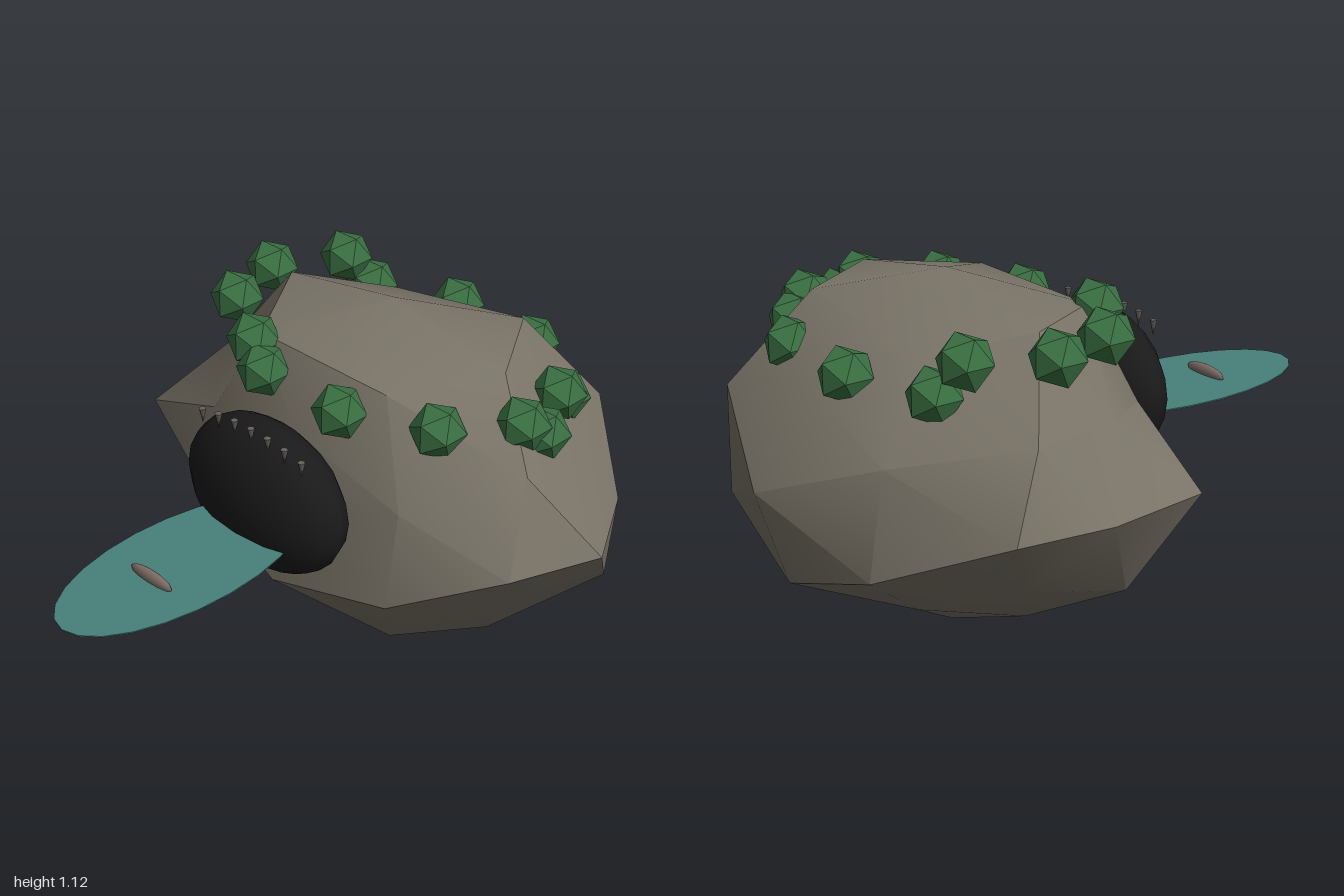
import * as THREE from 'three';
import { toCreasedNormals } from 'three/addons/utils/BufferGeometryUtils.js';

const paint = (name, color) => {
  const m = new THREE.MeshStandardMaterial({ color });
  m.name = name;
  return m;
};

// Boulder: a subdivided icosahedron, stretched, with its worn corners pulled to set points
function boulderGeometry() {
  const centre = new THREE.Vector3(-0.03, 0.585, -0.34);
  const stretch = new THREE.Vector3(0.85, 0.54, 0.62);
  const corners = [
    // ends
    [-0.03, 0.005, -0.34], [-0.82, 0.585, -0.34], [-0.03, 0.585, -1.0], [-0.03, 0.585, 0.15],
    // waist
    [0.71, 0.585, -0.05], [0.66, 0.585, -0.62], [-0.78, 0.585, -0.64], [-0.78, 0.585, 0.0],
    // underside
    [0.4, 0.1, -0.34], [-0.41, 0.16, -0.34], [0.23, 0.12, -0.07], [0.23, 0.12, -0.63], [-0.26, 0.2, -0.61],
    // sides
    [-0.62, 0.79, -0.19], [-0.74, 0.83, -0.54], [-0.66, 0.29, -0.17], [-0.61, 0.355, -0.5],
    [0.65, 0.86, -0.18], [0.56, 0.82, -0.505], [0.57, 0.35, -0.2], [0.69, 0.355, -0.54],
    // front
    [0.4, 0.74, 0.09], [-0.42, 0.74, 0.06], [0.4, 0.43, 0.14], [-0.42, 0.43, 0.1],
    [-0.03, 0.84, 0.09], [-0.03, 0.34, 0.19],
    // back
    [0.35, 0.43, -0.87], [-0.45, 0.43, -0.89], [-0.03, 0.86, -0.81], [-0.03, 0.28, -0.9],
    [0.24, 1.045, -0.63], [-0.27, 0.965, -0.61],
  ].map(c => new THREE.Vector3(...c));

  const geo = new THREE.IcosahedronGeometry(1, 1);
  const pos = geo.attributes.position;
  const unit = corners.map(c => c.clone().sub(centre).divide(stretch).normalize());
  const v = new THREE.Vector3();
  for (let i = 0; i < pos.count; i++) {
    v.fromBufferAttribute(pos, i);
    const k = unit.findIndex(u => u.dot(v) > 0.965);
    if (k >= 0) v.copy(corners[k]);
    else v.multiply(stretch).add(centre);
    pos.setXYZ(i, v.x, v.y, v.z);
  }
  return toCreasedNormals(geo, 0.6);
}

export function createModel() {
  const group = new THREE.Group();
  const rock = paint('rock grey', 0x7a7468);
  const dark = paint('cave black', 0x1a1a1a);
  const leaf = paint('bush green', 0x3a7042);
  const water = paint('pool teal', 0x46807a);
  const spike = paint('stalactite grey', 0x66625b);
  const slab = paint('stone brown', 0x7d6e64);

  const add = (name, geo, mat, p = [0, 0, 0], s = [1, 1, 1]) => {
    const mesh = new THREE.Mesh(geo, mat);
    mesh.name = name;
    mesh.position.set(...p);
    mesh.scale.set(...s);
    group.add(mesh);
  };

  add('boulder', boulderGeometry(), rock);

  // Dark opening and the thin pool that runs out of it
  add('caveMouth', new THREE.SphereGeometry(1, 16, 12), dark, [-0.03, 0.672, 0.205], [0.314, 0.248, 0.142]);
  add('pool', new THREE.CylinderGeometry(1, 1, 0.004, 24), water, [-0.03, 0.587, 0.55], [0.209, 1, 0.45]);
  add('steppingStone', new THREE.SphereGeometry(1, 12, 8), slab, [-0.03, 0.596, 0.668], [0.088, 0.025, 0.017]);

  // Stalactites along the upper lip, points down
  const cone = new THREE.ConeGeometry(0.012, 0.05, 6).rotateX(Math.PI);
  for (let i = -3; i <= 3; i++) {
    add('stalactite', cone, spike, [-0.03 + i * 0.07, 0.9 - 0.0025 * i * i, 0.265]);
  }

  // Ring of bushes around the crown
  const bush = new THREE.IcosahedronGeometry(0.087, 0);
  [
    [-0.13, 0.91, -0.75], [0.2, 0.91, -0.73], [-0.42, 0.91, -0.65], [-0.48, 1.01, -0.59],
    [-0.6, 1.01, -0.37], [-0.53, 1.01, -0.15], [-0.295, 1.01, 0], [-0.21, 0.955, 0.04],
    [0.115, 0.95, 0.045], [0.39, 0.95, -0.08], [0.54, 0.95, -0.28], [0.56, 0.9, -0.35],
    [0.49, 0.94, -0.505], [0.455, 0.89, -0.57],
  ].forEach(p => add('bush', bush, leaf, p));

  return group;
}
